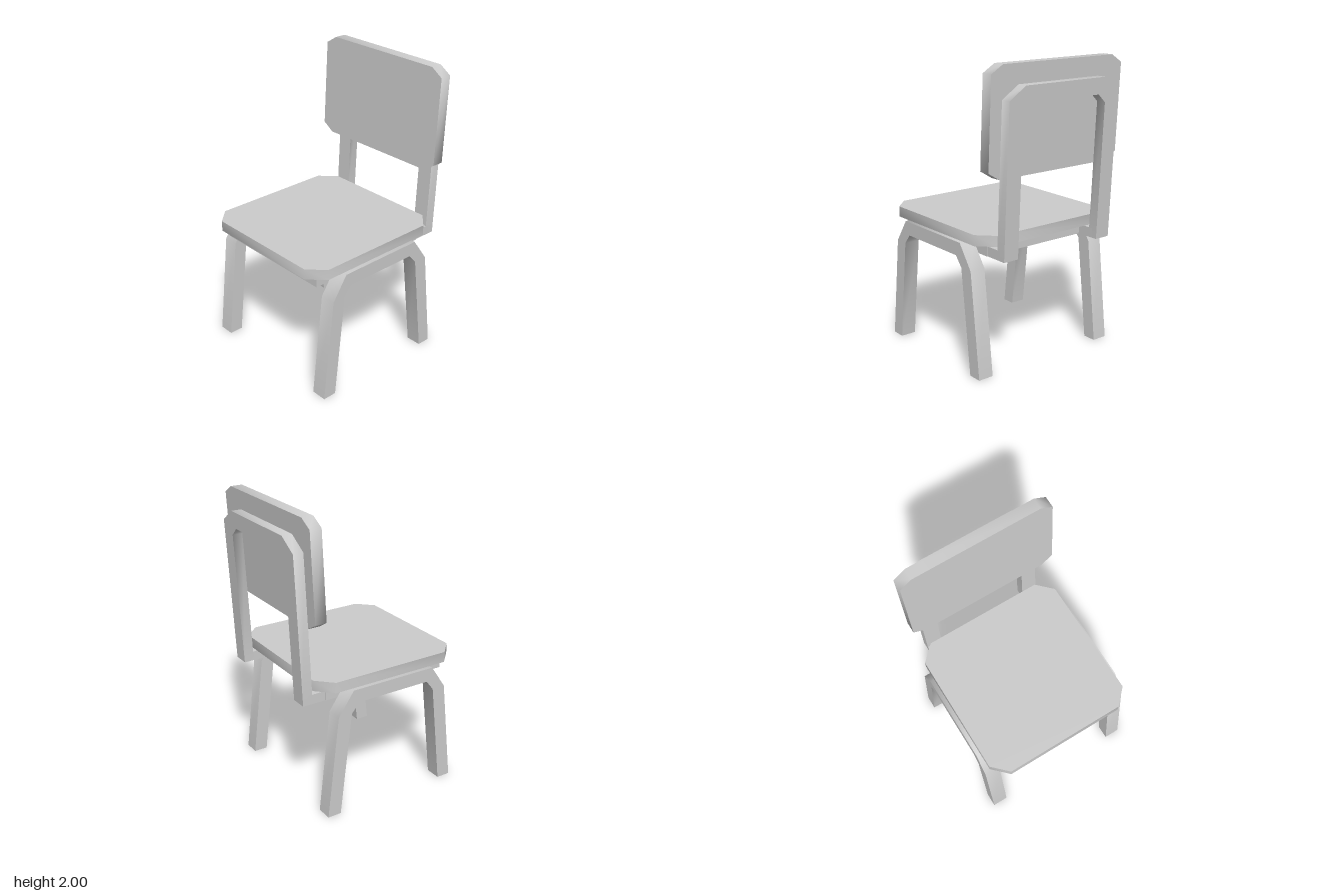
import * as THREE from 'three';
import { toCreasedNormals } from 'three/addons/utils/BufferGeometryUtils.js';

const grey = new THREE.MeshStandardMaterial({ color: 0xcccccc });

// Flat outline extruded along z, centred on z = 0
function slab(points, depth) {
  const shape = new THREE.Shape(points.map(([x, y]) => new THREE.Vector2(x, y)));
  return new THREE.ExtrudeGeometry(shape, { depth, bevelEnabled: false }).translate(0, 0, -depth / 2);
}

// Closes a half outline (x > 0, listed bottom to top) with its mirror image
const mirrored = (half) => [...half, ...half.map(([x, y]) => [-x, y]).reverse()];

// Turns an upright slab to face x, then leans it back as it rises
function lean(geometry, x) {
  geometry.rotateY(Math.PI / 2).translate(x, 0, 0);
  const p = geometry.attributes.position;
  for (let i = 0; i < p.count; i++) p.setX(i, p.getX(i) + 0.051 * (p.getY(i) - 0.79));
  return geometry;
}

export function createModel() {
  const model = new THREE.Group();
  model.name = 'chair';

  function add(name, geometry) {
    const mesh = new THREE.Mesh(toCreasedNormals(geometry, Math.PI / 3), grey);
    mesh.name = name;
    model.add(mesh);
    return mesh;
  }

  // Seat board with cut corners
  const seat = slab([
    [-0.605, -0.425], [-0.5, -0.53], [0.355, -0.53], [0.46, -0.425],
    [0.46, 0.425], [0.355, 0.53], [-0.5, 0.53], [-0.605, 0.425],
  ], 0.072);
  add('seat', seat.rotateX(-Math.PI / 2).translate(0, 0.906, 0));

  // Support plate under the seat
  add('seatSupport', new THREE.BoxGeometry(0.91, 0.077, 0.9).translate(-0.075, 0.8315, 0));

  // Bent leg frames, one on each side of the seat
  const legOutline = [
    [-0.566, 0], [-0.47, 0], [-0.39, 0.71], [-0.335, 0.778], [0.2, 0.778], [0.257, 0.71],
    [0.34, 0], [0.435, 0], [0.355, 0.71], [0.243, 0.87], [-0.377, 0.87], [-0.485, 0.71],
  ];
  for (const [name, side] of [['frontLegs', 1], ['rearLegs', -1]]) {
    add(name, slab(legOutline, 0.108)).position.z = side * 0.505;
  }

  // Back frame: two uprights joined by a top bar with cut corners
  const frame = mirrored([[0.335, 0.793], [0.445, 0.793], [0.445, 1.79], [0.325, 1.873]]);
  const opening = [[-0.335, 0.793], [-0.335, 1.71], [-0.275, 1.765], [0.275, 1.765], [0.335, 1.71]];
  const frameOutline = [...frame.slice(0, -1), ...opening];
  add('backFrame', lean(slab(frameOutline, 0.07), 0.51));

  // Short arms linking the uprights to the support plate
  for (const side of [1, -1]) {
    add('backFrameArm', new THREE.BoxGeometry(0.13, 0.065, 0.11).translate(0.44, 0.8255, side * 0.39));
  }

  // Backrest board with cut corners
  const board = mirrored([[0.445, 1.305], [0.53, 1.357], [0.53, 1.947], [0.445, 2]]);
  add('backrest', lean(slab(board, 0.08), 0.434));

  return model;
}
